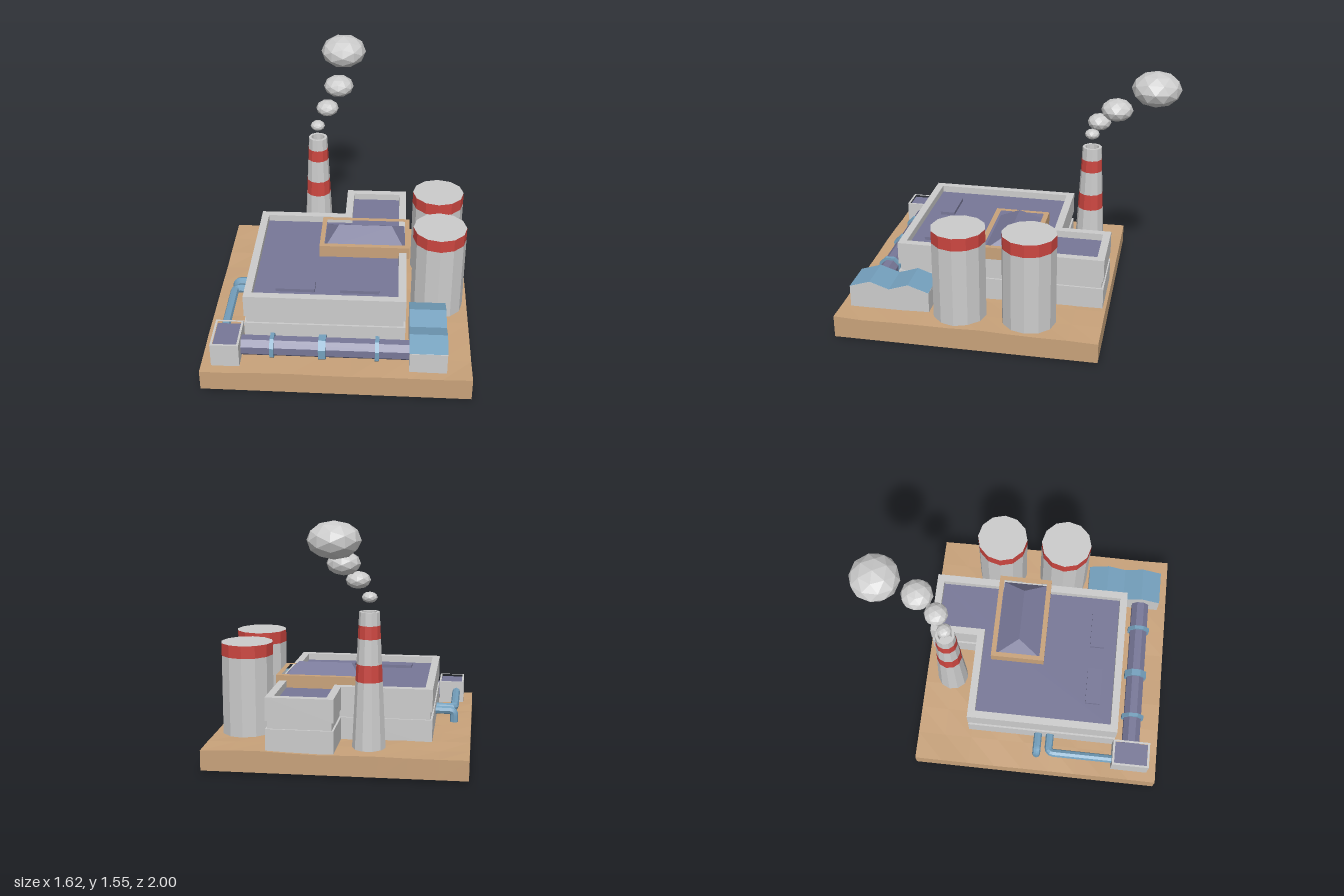
import * as THREE from 'three';

const mat = (color, side = THREE.FrontSide) =>
  new THREE.MeshStandardMaterial({ color, flatShading: true, side });
const GREY = mat(0xcccccc), RED = mat(0xcc4640), BLUE = mat(0x74a0bd);
const SLATE = mat(0x777797), EARTH = mat(0xc8a27a), GREY2 = mat(0xcccccc, THREE.DoubleSide);
const BASE = 0.12; // parts are sunk slightly into the uneven ground

export function createModel() {
  const root = new THREE.Group();

  const add = (name, geometry, material, x = 0, y = 0, z = 0) => {
    const mesh = new THREE.Mesh(geometry, material);
    mesh.name = name;
    mesh.position.set(x, y, z);
    root.add(mesh);
    return mesh;
  };
  // box given by its limits on each axis
  const box = (name, material, x0, x1, y0, y1, z0, z1) =>
    add(name, new THREE.BoxGeometry(x1 - x0, y1 - y0, z1 - z0), material,
      (x0 + x1) / 2, (y0 + y1) / 2, (z0 + z1) / 2);
  // plan outline of [x, z] points raised from y0 to y1
  const toPath = (pts, Type) => new Type(pts.map(([x, z]) => new THREE.Vector2(x, -z)));
  const slab = (name, material, pts, y0, y1, hole) => {
    const shape = toPath(pts, THREE.Shape);
    if (hole) shape.holes.push(toPath(hole, THREE.Path));
    const g = new THREE.ExtrudeGeometry(shape, { depth: y1 - y0, bevelEnabled: false });
    return add(name, g.rotateX(-Math.PI / 2), material, 0, y0, 0);
  };
  const rect = (x0, x1, z0, z1) => [[x0, z0], [x1, z0], [x1, z1], [x0, z1]];

  // uneven ground slab
  const ground = new THREE.BoxGeometry(1.62, 0.14, 1.63, 9, 1, 9);
  const gp = ground.attributes.position;
  for (let i = 0; i < gp.count; i++) {
    const x = gp.getX(i), z = gp.getZ(i) + 0.185;
    const top = 0.141 + 0.004 * Math.sin(x * 9 + z * 5) + 0.003 * Math.sin(z * 13 - x * 7);
    const bottom = 0.004 * (1 - x / 0.81) + 0.005 * (1 - z);
    gp.setXYZ(i, x, gp.getY(i) > 0 ? top : bottom, z);
  }
  add('ground', ground, EARTH);

  // L-shaped factory hall: outline inset by d
  const hall = (d) => [
    [-0.575 + d, 0.7 - d], [0.41 - d, 0.7 - d], [0.41 - d, -0.61 + d],
    [-0.005 + d, -0.61 + d], [-0.005 + d, -0.29 + d], [-0.575 + d, -0.29 + d],
  ];
  slab('hallLowerWall', GREY, hall(0), BASE, 0.28);
  slab('hallGroove', GREY, hall(0.012), 0.28, 0.33);
  slab('hallParapet', GREY, hall(0), 0.33, 0.475, hall(0.048));
  slab('hallRoof', SLATE, hall(0.047), 0.34, 0.43);
  for (const x of [-0.39, 0.005]) box('roofPanel', SLATE, x, x + 0.24, 0.42, 0.45, 0.475, 0.57);

  // raised skylight with a hipped roof
  slab('skylightFrame', EARTH, rect(-0.15, 0.43, -0.18, 0.175), 0.43, 0.51, rect(-0.12, 0.4, -0.148, 0.143));
  const hip = new THREE.BoxGeometry(0.52, 0.09, 0.29);
  const hp = hip.attributes.position;
  for (let i = 0; i < hp.count; i++) {
    if (hp.getY(i) > 0) {
      hp.setX(i, Math.sign(hp.getX(i)) * 0.173);
      hp.setZ(i, 0);
    }
  }
  add('skylightRoof', hip, SLATE, 0.14, 0.52, -0.002);

  // tapering hollow chimney with two red bands
  const radius = (y) => 0.104 - (y - 0.14) * 0.0495;
  const rings = [BASE, 0.56, 0.665, 0.82, 0.9, 0.98];
  for (let i = 0; i < rings.length - 1; i++) {
    const [a, b] = [rings[i], rings[i + 1]];
    add(i % 2 ? 'chimneyBand' : 'chimneySection',
      new THREE.CylinderGeometry(radius(b), radius(a), b - a, 11, 1, true),
      i % 2 ? RED : GREY, -0.2, (a + b) / 2, -0.447);
  }
  const bore = [[0, 0.86], [0.045, 0.86], [0.045, 0.98], [radius(0.98), 0.98]];
  add('chimneyMouth', new THREE.LatheGeometry(bore.map(([r, y]) => new THREE.Vector2(r, y)), 11),
    GREY2, -0.2, 0, -0.447);

  // smoke puffs: x, y, z, radius
  for (const [x, y, z, r] of [
    [-0.2, 1.066, -0.445, 0.048], [-0.138, 1.175, -0.495, 0.075],
    [-0.068, 1.285, -0.61, 0.1], [-0.048, 1.44, -0.847, 0.153],
  ]) add('smokePuff', new THREE.IcosahedronGeometry(r, 1), GREY, x, y, z).scale.y = 0.7;

  // storage tanks with red rims
  for (const z of [0.25, -0.182]) {
    add('tank', new THREE.CylinderGeometry(0.167, 0.167, 0.645 - BASE, 12), GREY, 0.614, (0.645 + BASE) / 2, z);
    add('tankRim', new THREE.CylinderGeometry(0.167, 0.167, 0.08, 12, 1, true), RED, 0.614, 0.685, z);
    const lid = new THREE.CircleGeometry(0.167, 12).rotateX(-Math.PI / 2);
    add('tankLid', lid.rotateY(Math.PI / 2), GREY, 0.614, 0.725, z);
  }

  // large horizontal pipe with clamps
  const drum = (name, material, r, x0, x1) => {
    const g = new THREE.CylinderGeometry(r, r, x1 - x0, 8).rotateY(Math.PI / 8).rotateZ(Math.PI / 2);
    add(name, g, material, (x0 + x1) / 2, 0.203, 0.813);
  };
  drum('mainPipe', SLATE, 0.062, -0.59, 0.45);
  for (const [x, w] of [[-0.39, 0.024], [-0.088, 0.044], [0.242, 0.024]])
    drum('pipeClamp', BLUE, 0.079, x - w / 2, x + w / 2);

  // pump house at the pipe's end
  slab('pumpHouseWalls', GREY, rect(-0.748, -0.577, 0.692, 0.938), BASE, 0.29, rect(-0.735, -0.59, 0.706, 0.924));
  box('pumpHouseRoof', SLATE, -0.736, -0.589, 0.2, 0.275, 0.705, 0.925);

  // workshop with a double-ridged roof, cross-section in z and y
  const ridge = [[0.435, 0.277], [0.565, 0.32], [0.687, 0.279], [0.81, 0.32], [0.94, 0.277]];
  const gable = (name, material, pts, x0, x1) => {
    const shape = new THREE.Shape(pts.map(([z, y]) => new THREE.Vector2(-z, y)));
    const g = new THREE.ExtrudeGeometry(shape, { depth: x1 - x0, bevelEnabled: false });
    add(name, g.rotateY(Math.PI / 2), material, x0, 0, 0);
  };
  gable('workshopWalls', GREY, [[0.435, BASE], ...ridge, [0.94, BASE]], 0.435, 0.66);
  const roof = new THREE.PlaneGeometry(0.228, 1, 1, 4);
  const rp = roof.attributes.position;
  for (let i = 0; i < rp.count; i++) {
    const [z, y] = ridge[Math.floor(i / 2)];
    rp.setXYZ(i, rp.getX(i) + 0.5475, y + 0.002, z);
  }
  add('workshopRoof', roof, mat(0x74a0bd, THREE.DoubleSide));

  // bent side pipes: straight runs with rounded elbows
  const bentPipe = (name, ...p) => {
    const [a, corner, b] = p.map((v) => new THREE.Vector3(...v));
    const near = (end) => corner.clone().add(end.clone().sub(corner).setLength(0.035));
    const path = new THREE.CurvePath();
    path.add(new THREE.LineCurve3(a, near(a)));
    path.add(new THREE.QuadraticBezierCurve3(near(a), corner, near(b)));
    path.add(new THREE.LineCurve3(near(b), b));
    add(name, new THREE.TubeGeometry(path, 32, 0.027, 8), BLUE);
  };
  bentPipe('drainPipe', [-0.56, 0.22, 0.185], [-0.697, 0.22, 0.185], [-0.697, 0.12, 0.185]);
  bentPipe('feedPipe', [-0.56, 0.22, 0.265], [-0.697, 0.22, 0.265], [-0.697, 0.22, 0.7]);

  return root;
}
